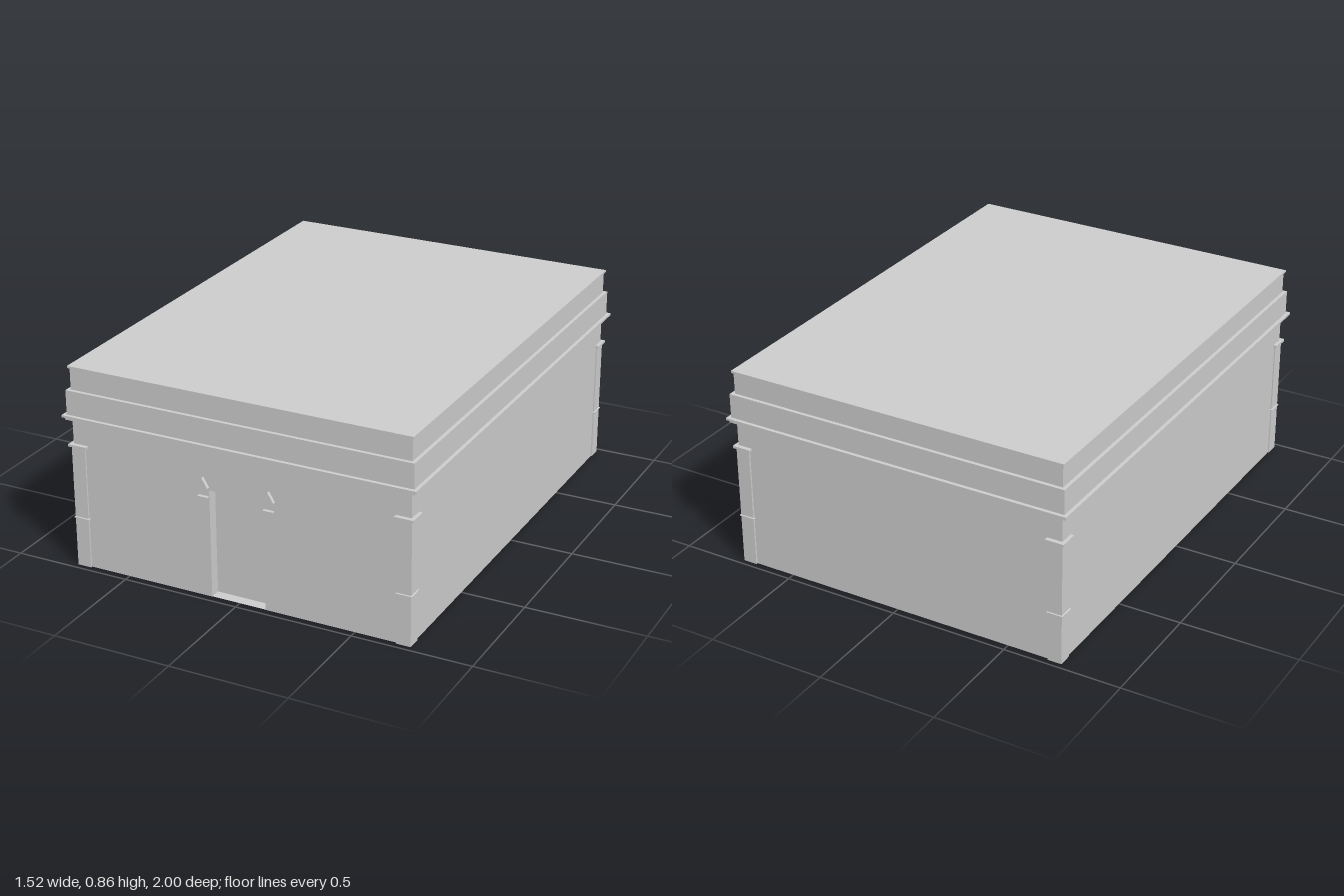
import * as THREE from 'three';

const shell = new THREE.MeshStandardMaterial({ color: 0xcccccc, side: THREE.DoubleSide, flatShading: true });

// wall half width, half depth, and height where the cornice begins
const WX = 0.732, WZ = 0.968, WALL_TOP = 0.63;

// door opening
const DOOR = { x0: -0.122, x1: 0.115, top: 0.46, depth: 0.045 };

function mesh(name, geometry, x = 0, y = 0, z = 0) {
  const m = new THREE.Mesh(geometry, shell);
  m.name = name;
  m.position.set(x, y, z);
  return m;
}

// Sweeps a stack of rectangles [halfX, halfZ, y] into an open-ended shell
function rectangularShell(profile) {
  const corners = [[1, 1], [1, -1], [-1, -1], [-1, 1]];
  const pos = [];
  for (let i = 0; i < profile.length - 1; i++) {
    for (let j = 0; j < 4; j++) {
      const point = (p, [sx, sz]) => [p[0] * sx, p[2], p[1] * sz];
      const c = corners[j], d = corners[(j + 1) % 4];
      const a0 = point(profile[i], c), b0 = point(profile[i], d);
      const a1 = point(profile[i + 1], c), b1 = point(profile[i + 1], d);
      pos.push(...a0, ...b0, ...b1, ...a0, ...b1, ...a1);
    }
  }
  const g = new THREE.BufferGeometry();
  g.setAttribute('position', new THREE.Float32BufferAttribute(pos, 3));
  g.computeVertexNormals();
  return g;
}

function plane(w, h, rotX = 0, rotY = 0) {
  return new THREE.PlaneGeometry(w, h).rotateX(rotX).rotateY(rotY);
}

function createWalls() {
  const g = new THREE.Group();
  g.name = 'walls';
  // front wall, notched for the door
  const outline = [
    [-WX, 0], [DOOR.x0, 0], [DOOR.x0, DOOR.top], [DOOR.x1, DOOR.top],
    [DOOR.x1, 0], [WX, 0], [WX, WALL_TOP], [-WX, WALL_TOP],
  ].map(([x, y]) => new THREE.Vector2(x, y));
  g.add(mesh('frontWall', new THREE.ShapeGeometry(new THREE.Shape(outline)), 0, 0, WZ));
  g.add(mesh('backWall', plane(2 * WX, WALL_TOP, 0, Math.PI), 0, WALL_TOP / 2, -WZ));
  for (const s of [1, -1]) {
    g.add(mesh(s > 0 ? 'leftWall' : 'rightWall',
      plane(2 * WZ, WALL_TOP, 0, s * Math.PI / 2), s * WX, WALL_TOP / 2, 0));
  }
  return g;
}

function createUpperStorey() {
  const g = new THREE.Group();
  g.name = 'upperStorey';
  // [projection beyond the wall, height]
  const steps = [
    [0, WALL_TOP], [0.008, 0.638], [0.02, 0.638], [0.02, 0.648], [0.03, 0.65],
    [0.03, 0.659], [0.015, 0.659], [0.015, 0.762], [0, 0.762],
    [0, 0.85], [0.007, 0.853], [0.007, 0.862],
  ];
  g.add(mesh('corniceAndParapet', rectangularShell(steps.map(([o, y]) => [WX + o, WZ + o, y]))));
  g.add(mesh('roof', plane(2 * WX + 0.014, 2 * WZ + 0.014, -Math.PI / 2), 0, 0.862, 0));
  return g;
}

function createDoor() {
  const g = new THREE.Group();
  g.name = 'doorway';
  const { x0, x1, top, depth } = DOOR;
  const w = x1 - x0, cx = (x0 + x1) / 2, cz = WZ - depth / 2;
  g.add(mesh('doorPanel', plane(w, top), cx, top / 2, WZ - depth));
  g.add(mesh('threshold', plane(w, depth, -Math.PI / 2), cx, 0.001, cz));
  g.add(mesh('doorHead', plane(w, depth, Math.PI / 2), cx, top, cz));
  g.add(mesh('rightJamb', plane(depth, top, 0, Math.PI / 2), x0, top / 2, cz));
  g.add(mesh('leftJamb', plane(depth, top, 0, -Math.PI / 2), x1, top / 2, cz));

  // small pediment and ledge at each side of the door
  const triangle = new THREE.Shape([[-0.025, 0], [0.025, 0], [0, 0.041]].map(([x, y]) => new THREE.Vector2(x, y)));
  const prism = new THREE.ExtrudeGeometry(triangle, { depth: 0.015, bevelEnabled: false });
  for (const s of [1, -1]) {
    const x = cx + s * 0.143;
    g.add(mesh('pediment', prism, x, 0.4725, WZ));
    g.add(mesh('ledge', new THREE.BoxGeometry(0.044, 0.005, 0.015), x - s * 0.001, 0.432, WZ + 0.0075));
  }
  return g;
}

function createPilaster(sx, sz) {
  const g = new THREE.Group();
  g.name = 'cornerPilaster';
  const r = 0.03, band = 0.034;
  // open square shaft with a thin band
  const profile = [[r, 0], [r, 0.209], [band, 0.211], [band, 0.215], [r, 0.217], [r, 0.524]];
  g.add(mesh('shaft', rectangularShell(profile.map(([h, y]) => [h, h, y]))));
  g.add(mesh('capital', new THREE.BoxGeometry(0.08, 0.01, 0.08), 0, 0.528, 0));
  g.position.set(sx * 0.707, 0, sz * 0.946);
  return g;
}

export function createModel() {
  const model = new THREE.Group();
  model.name = 'building';
  model.add(createWalls(), createUpperStorey(), createDoor());
  for (const sx of [1, -1]) for (const sz of [1, -1]) model.add(createPilaster(sx, sz));
  return model;
}
